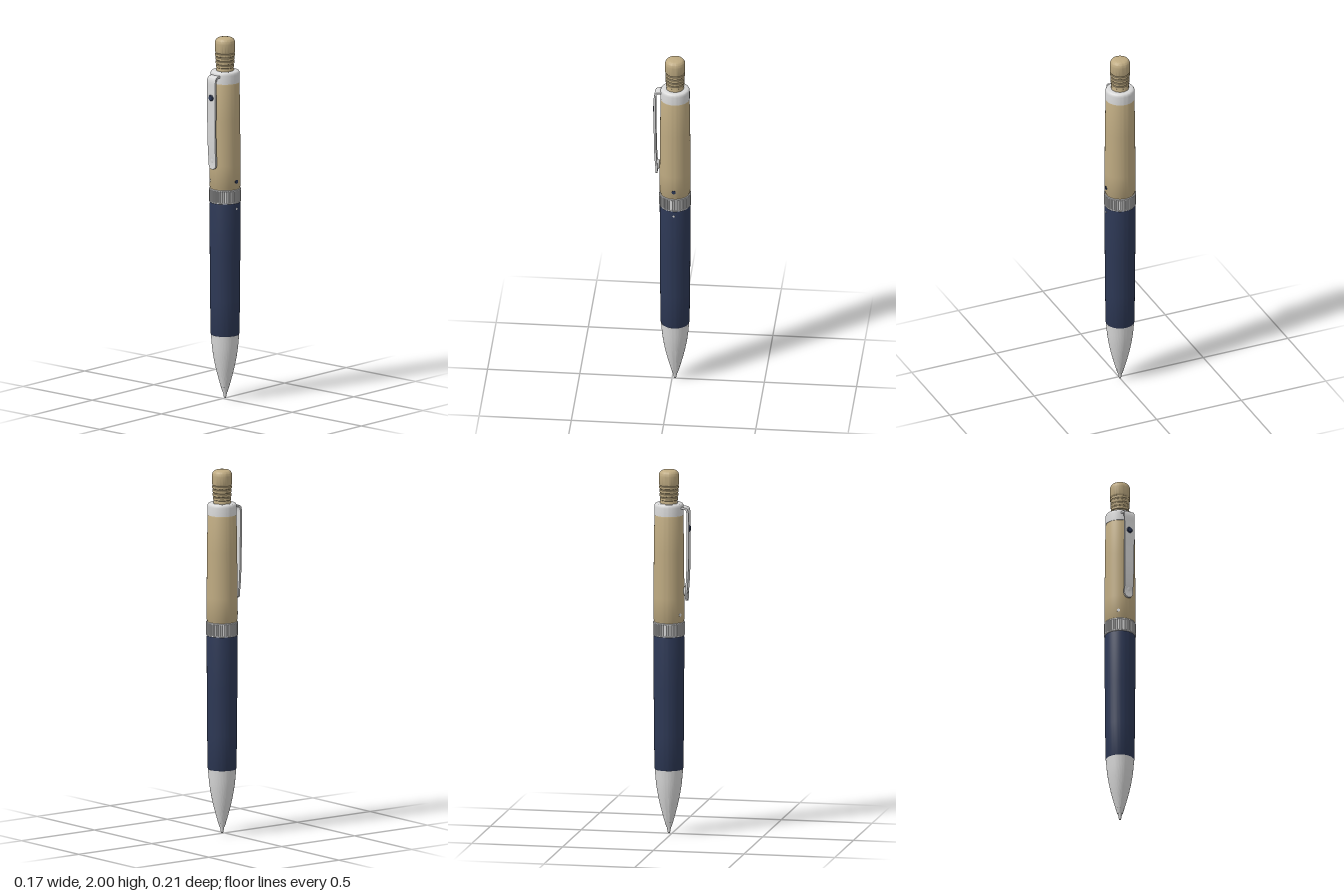
import * as THREE from 'three';
import { toCreasedNormals } from 'three/addons/utils/BufferGeometryUtils.js';

const AXIS_Z = -0.0165; // the barrel sits slightly back so the clip is included in the centring

export function createModel() {
  const model = new THREE.Group();
  model.name = 'pen';
  const paint = (name, color) => {
    const m = new THREE.MeshStandardMaterial({ color });
    m.name = name;
    return m;
  };
  const tan = paint('tan', 0xbfab82);
  const navy = paint('navy', 0x2d3855);
  const silver = paint('silver', 0xd9d9d9);

  const body = new THREE.Group();
  body.name = 'body';
  body.position.z = AXIS_Z;
  model.add(body);

  const add = (parent, name, geometry, material) => {
    const mesh = new THREE.Mesh(geometry, material);
    mesh.name = name;
    parent.add(mesh);
    return mesh;
  };
  // Turned part from [radius, height] pairs, listed bottom to top
  const turned = (name, profile, material) => {
    const pts = profile.map(([r, y]) => new THREE.Vector2(r, y));
    return add(body, name, toCreasedNormals(new THREE.LatheGeometry(pts, 72), 0.6), material);
  };

  // Writing end
  turned('nib', [[0, 0], [0.005, 0.002], [0.008, 0.012], [0.012, 0.042], [0, 0.042]], silver);
  const cone = new THREE.SplineCurve([[0.0145, 0.036], [0.033, 0.1], [0.053, 0.18],
    [0.068, 0.265], [0.0765, 0.355]].map(([r, y]) => new THREE.Vector2(r, y)));
  turned('tipCone', [[0, 0.036], ...cone.getPoints(24).map((p) => [p.x, p.y]), [0, 0.355]], silver);

  // Grip and upper barrel
  turned('grip', [[0, 0.355], [0.076, 0.355], [0.078, 0.36], [0.0805, 0.55], [0.0825, 0.8],
    [0.083, 1.08], [0.081, 1.092], [0, 1.092]], navy);
  turned('upperBarrel', [[0, 1.16], [0.08, 1.16], [0.08, 1.172], [0.0835, 1.178], [0.0835, 1.3],
    [0.0815, 1.55], [0.0785, 1.745], [0.0765, 1.752], [0, 1.752]], tan);

  // Fluted middle ring
  const teeth = 52;
  const flutes = new THREE.Shape();
  for (let i = 0; i < teeth; i++) {
    [[0, 0.0866], [0.5, 0.0866], [0.62, 0.0825], [0.88, 0.0825]].forEach(([f, r], k) => {
      const a = ((i + f) / teeth) * Math.PI * 2;
      flutes[i + k === 0 ? 'moveTo' : 'lineTo'](r * Math.cos(a), r * Math.sin(a));
    });
  }
  flutes.closePath();
  const ring = new THREE.ExtrudeGeometry(flutes, { depth: 0.064, bevelEnabled: false });
  ring.rotateX(-Math.PI / 2);
  ring.translate(0, 1.096, 0);
  add(body, 'flutedRing', ring, silver);
  for (const y of [1.09, 1.157]) {
    turned('ringRim', [[0, y], [0.084, y], [0.0855, y + 0.002], [0.0855, y + 0.007],
      [0.084, y + 0.009], [0, y + 0.009]], silver);
  }

  // Collar under the push button
  turned('collar', [[0, 1.752], [0.079, 1.752], [0.079, 1.798], [0.0775, 1.807], [0.074, 1.813],
    [0.069, 1.816], [0.05, 1.816], [0, 1.816]], silver);

  // Push button with grooves
  const button = [[0, 1.8], [0.047, 1.8], [0.0475, 1.826]];
  for (let i = 0; i < 4; i++) {
    const y = 1.832 + i * 0.021;
    const r = 0.0495 + i * 0.0012;
    button.push([r - 0.004, y], [r, y + 0.003], [r, y + 0.015], [r - 0.004, y + 0.018]);
  }
  button.push([0.054, 1.92], [0.0545, 1.965]);
  for (let i = 1; i <= 8; i++) {
    const a = (i / 8) * Math.PI / 2;
    button.push([0.0285 + 0.026 * Math.cos(a), 1.968 + 0.029 * Math.sin(a)]);
  }
  button.push([0.015, 1.9995], [0, 2]);
  turned('pushButton', button, tan);

  // Clip: a box bent along a side path, narrowing to a round end
  const path = new THREE.CatmullRomCurve3([[0.04, 1.792], [0.07, 1.793], [0.084, 1.788], [0.09, 1.772],
    [0.0915, 1.72], [0.0915, 1.6], [0.09, 1.45], [0.0855, 1.36], [0.082, 1.32], [0.084, 1.283]]
    .map(([z, y]) => new THREE.Vector3(0, y, z)), false, 'centripetal');
  const length = path.getLength();
  const clip = new THREE.BoxGeometry(2, 1, 0.011, 4, 120, 1);
  const pos = clip.attributes.position;
  for (let i = 0; i < pos.count; i++) {
    const s = THREE.MathUtils.clamp(0.5 - pos.getY(i), 0, 1);
    const p = path.getPointAt(s);
    const t = path.getTangentAt(s);
    const d = pos.getZ(i);
    let half = THREE.MathUtils.lerp(0.0305, 0.025, s);
    const left = (1 - s) * length;
    if (left < 0.025) half = Math.sqrt(Math.max(0.00001, 0.025 ** 2 - (0.025 - left) ** 2));
    pos.setXYZ(i, pos.getX(i) * half, p.y + t.z * d, p.z - t.y * d);
  }
  add(model, 'clip', toCreasedNormals(clip, 0.6), silver);

  // Bump that presses on the barrel
  const bump = add(model, 'clipBump', new THREE.SphereGeometry(1, 20, 14), silver);
  bump.scale.set(0.017, 0.03, 0.013);
  bump.position.set(0, 1.335, 0.077);

  // Round stud on the clip
  const stud = add(model, 'clipStud', new THREE.CylinderGeometry(0.013, 0.018, 0.007, 24), navy);
  stud.rotation.x = Math.PI / 2;
  stud.position.set(0, 1.68, 0.0995);

  // Small inlaid dots, placed by angle around the barrel (0 = front)
  const dots = [
    ['frontDot', -0.57, 1.21, 0.0835, 0.009, silver],
    ['sideDot', Math.PI / 2, 1.21, 0.0835, 0.011, navy],
    ['gripDot', Math.PI / 2, 1.06, 0.083, 0.006, silver],
  ];
  for (const [name, angle, y, r, size, material] of dots) {
    const g = new THREE.CylinderGeometry(size, size, 0.005, 16);
    g.rotateX(Math.PI / 2);
    g.translate(0, y, r - 0.001);
    g.rotateY(angle);
    add(body, name, g, material);
  }
  return model;
}
